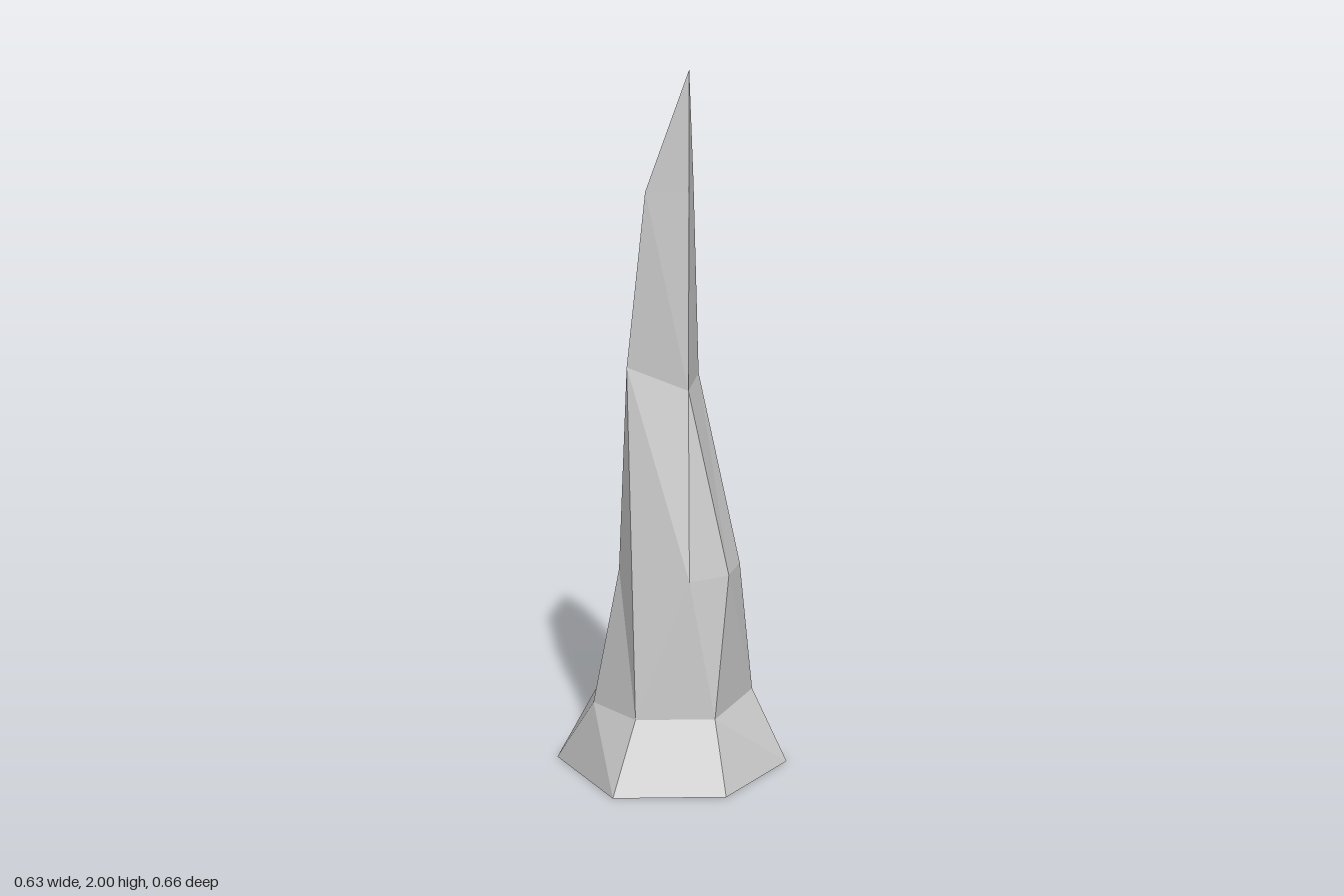
import * as THREE from 'three';

// Irregular cross-sections from ground to tip, each point as [x, y, z]
const ring = (y, pts) => pts.map(([x, z, py = y]) => [x, py, z]);
const centre = ring(0, [[0, 0]]);
const base = ring(0, [[0.315, 0.105], [0.09, 0.33], [-0.243, 0.23], [-0.318, -0.133], [-0.03, -0.332], [0.272, -0.21]]);
const foot = ring(0.2, [[0.237, 0.067], [0.077, 0.225], [-0.11, 0.208], [-0.222, 0.07], [-0.207, -0.11], [-0.07, -0.227], [0.15, -0.193]]);
const waist = ring(0.6, [[0.175, 0.108], [0.021, 0.18], [-0.06, 0.15], [-0.148, -0.035], [0.005, -0.175], [0.15, -0.133], [0.21, -0.018]]);
const neck = ring(1.14, [[0.09, 0.022, 1.12], [-0.06, 0.115, 1.18], [-0.148, -0.035], [0, -0.118]]);
const crown = ring(1.67, [[0.075, 0.005], [-0.02, 0.08], [-0.075, -0.017], [0.013, -0.08, 1.69]]);
const tip = ring(2, [[0.07, 0]]);

// Joins two rings with triangles: 'l' steps along the lower ring, 'u' along the upper
function stitch(lower, upper, steps, out) {
  let l = 0, u = 0;
  for (const s of steps) {
    const a = lower[l % lower.length], b = upper[u % upper.length];
    const c = s === 'l' ? lower[++l % lower.length] : upper[++u % upper.length];
    out.push(...a, ...b, ...c);
  }
}

export function createModel() {
  const positions = [];
  stitch(centre, base, 'uuuuuu', positions); // underside
  stitch(base, foot, 'ulululuululul', positions); // flared foot
  stitch(foot, waist, 'luullulluluulu', positions); // lower shaft
  stitch(waist, neck, 'ullullullul', positions); // middle shaft
  stitch(neck, crown, 'ulluulul', positions); // upper shaft
  stitch(crown, tip, 'llll', positions); // point

  const geometry = new THREE.BufferGeometry();
  geometry.setAttribute('position', new THREE.Float32BufferAttribute(positions, 3));
  geometry.computeVertexNormals();

  const spike = new THREE.Mesh(geometry, new THREE.MeshStandardMaterial({ color: 0xcccccc, flatShading: true }));
  spike.name = 'rockSpike';
  const group = new THREE.Group();
  group.name = 'stalagmite';
  group.add(spike);
  return group;
}
